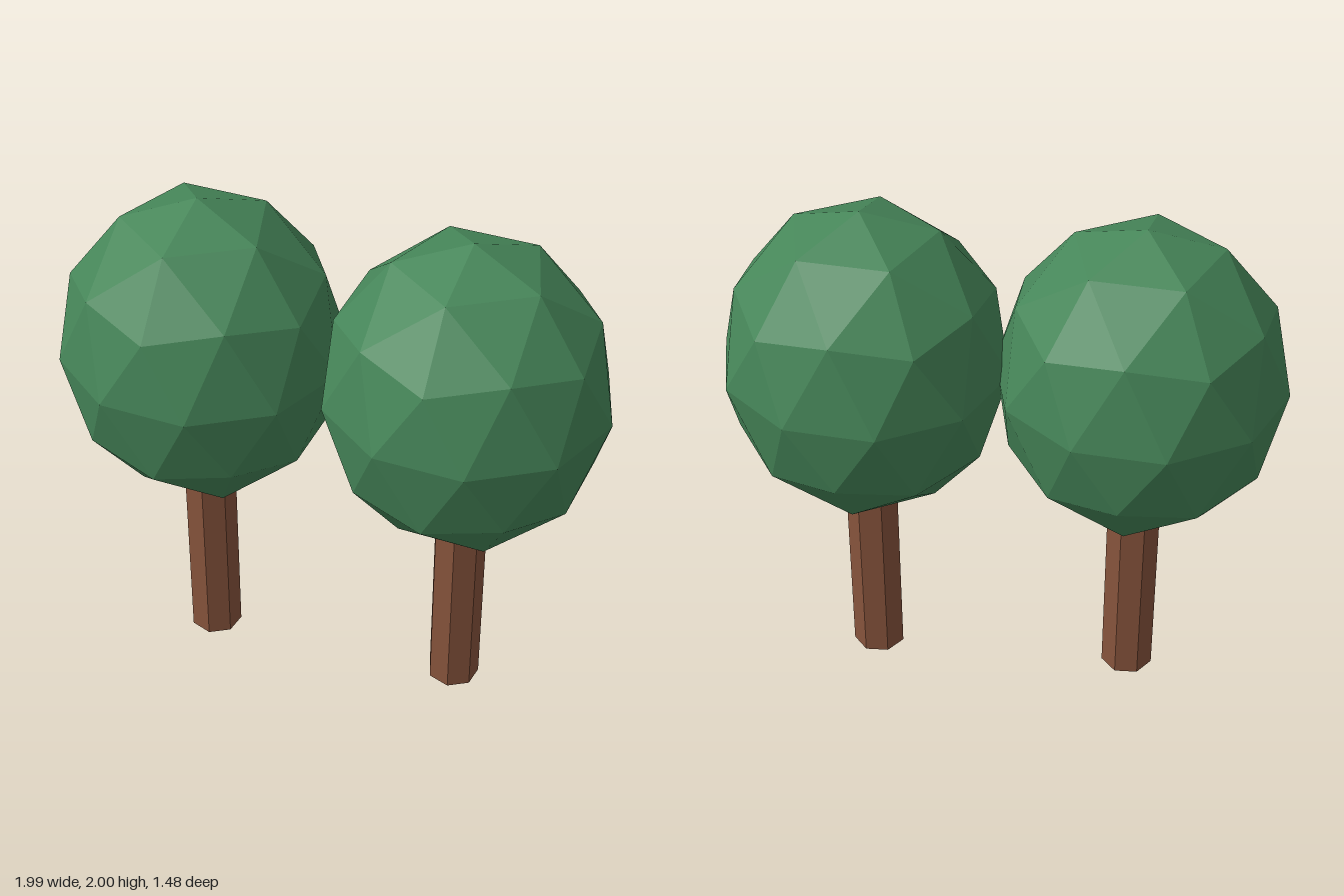
import * as THREE from 'three';

const leafGreen = new THREE.MeshStandardMaterial({ color: 0x468659, flatShading: true });
leafGreen.name = 'leafGreen';
const barkBrown = new THREE.MeshStandardMaterial({ color: 0x87543c, flatShading: true });
barkBrown.name = 'barkBrown';

// Faceted egg-shaped crown: an 80-sided ball turned so one corner points straight up
function makeCrown() {
  const geometry = new THREE.IcosahedronGeometry(1, 1);
  geometry.rotateZ(-Math.atan(2 / (1 + Math.sqrt(5))));
  geometry.scale(0.55, 0.62, 0.538);
  const crown = new THREE.Mesh(geometry, leafGreen);
  crown.name = 'crown';
  crown.position.y = 1.38;
  return crown;
}

// Seven-sided trunk with a flat face to the front, its top sunk into the crown
function makeTrunk() {
  const height = 0.85;
  const geometry = new THREE.CylinderGeometry(0.103, 0.103, height, 7, 1, false, Math.PI);
  const trunk = new THREE.Mesh(geometry, barkBrown);
  trunk.name = 'trunk';
  trunk.position.y = height / 2;
  return trunk;
}

export function createModel() {
  const model = new THREE.Group();
  model.name = 'treePair';

  // Two identical trees standing diagonally to each other
  for (const [name, side] of [['leftTree', 1], ['rightTree', -1]]) {
    const tree = new THREE.Group();
    tree.name = name;
    tree.add(makeTrunk(), makeCrown());
    tree.position.set(0.472 * side, 0, -0.2 * side);
    model.add(tree);
  }
  return model;
}
